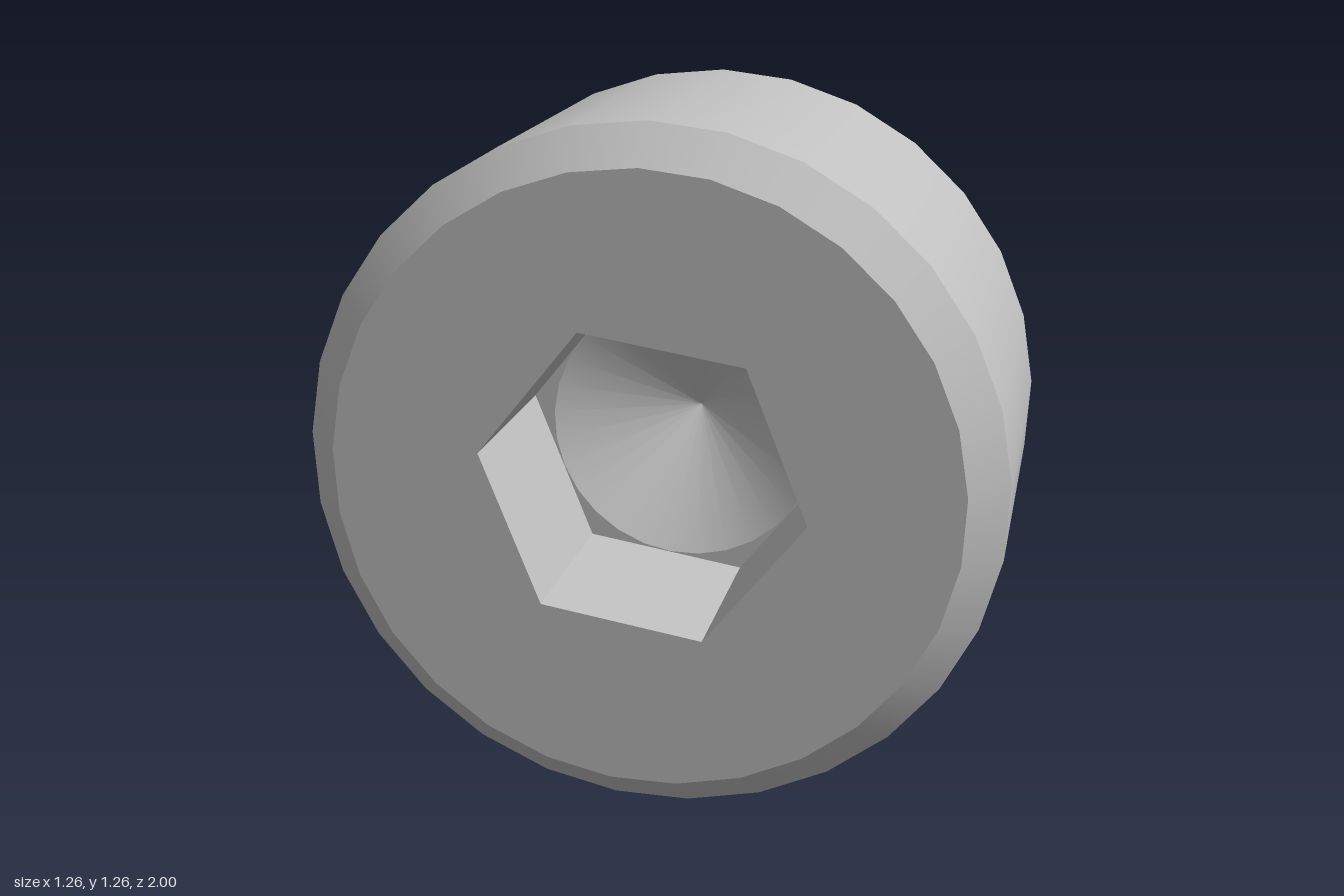
import * as THREE from 'three';

const AXIS_Y = 0.633;          // height of the screw's axis
const SIDES = 29;              // facets round every turned surface
const START = Math.PI - 0.01;  // first facet corner, at the top
const HEX_R = 0.297, HEX_TURN = THREE.MathUtils.degToRad(51);
const APOTHEM = HEX_R * Math.cos(Math.PI / 6);
const FRONT = 1, FLOOR = 0.667, UNDER = 0.333;

// Corners of a regular polygon in the xy plane
function polygon(radius, sides, turn) {
  return Array.from({ length: sides }, (_, i) => {
    const a = turn + (i / sides) * Math.PI * 2;
    return new THREE.Vector2(radius * Math.cos(a), radius * Math.sin(a));
  });
}

// Flat ring facing +z
function plate(outer, inner, z) {
  const shape = new THREE.Shape(outer);
  shape.holes.push(new THREE.Path(inner));
  return new THREE.ShapeGeometry(shape).translate(0, 0, z);
}

// Surface turned about the z axis from [radius, z] points
function turned(points) {
  const profile = points.map(([r, z]) => new THREE.Vector2(r, z));
  return new THREE.LatheGeometry(profile, SIDES, START).rotateX(Math.PI / 2);
}

export function createModel() {
  const steel = new THREE.MeshStandardMaterial({ color: 0xc0c0c0 });
  steel.name = 'plain steel grey';
  const model = new THREE.Group();
  model.name = 'socketHeadScrew';

  const group = (name) => {
    const g = new THREE.Group();
    g.name = name;
    g.position.y = AXIS_Y;
    model.add(g);
    return g;
  };
  const add = (parent, name, geometry) => {
    const mesh = new THREE.Mesh(geometry, steel);
    mesh.name = name;
    parent.add(mesh);
  };

  // Shank with chamfered tip and a small fillet under the head
  const shank = group('shank');
  const fillet = [];
  for (let i = 0; i <= 6; i++) {
    const a = Math.PI - (i / 6) * Math.PI / 2;
    fillet.push([0.363 + 0.03 * Math.cos(a), 0.303 + 0.03 * Math.sin(a)]);
  }
  add(shank, 'tipFace', turned([[0, -1], [0.26, -1]]));
  add(shank, 'tipChamfer', turned([[0.26, -1], [0.333, -0.927]]));
  add(shank, 'shankBody', turned([[0.333, -0.927], [0.333, 0.298], ...fillet]));

  // Head
  const head = group('head');
  const rim = polygon(0.565, SIDES, START - Math.PI / 2);
  const hex = polygon(HEX_R, 6, HEX_TURN);
  add(head, 'headUnderside', turned([[0.363, UNDER], [0.633, UNDER]]));
  add(head, 'headSide', turned([[0.633, UNDER], [0.633, 0.933]]));
  add(head, 'headChamfer', turned([[0.633, 0.933], [0.565, FRONT]]));
  add(head, 'headFace', plate(rim, hex, FRONT));

  // Hexagonal socket with a drilled cone at the bottom
  const socket = group('socket');
  for (let i = 0; i < 6; i++) {
    const wall = new THREE.PlaneGeometry(HEX_R, FRONT - FLOOR)
      .rotateX(-Math.PI / 2)
      .translate(0, -APOTHEM, (FRONT + FLOOR) / 2)
      .rotateZ(HEX_TURN + Math.PI / 6 + Math.PI / 2 + i * Math.PI / 3);
    add(socket, 'socketWall', wall);
  }
  const drill = polygon(APOTHEM - 0.001, SIDES, START - Math.PI / 2);
  add(socket, 'socketFloor', plate(hex, drill, FLOOR));
  add(socket, 'drillCone', turned([[APOTHEM - 0.001, FLOOR], [0, FLOOR - 0.148]]));

  return model;
}
